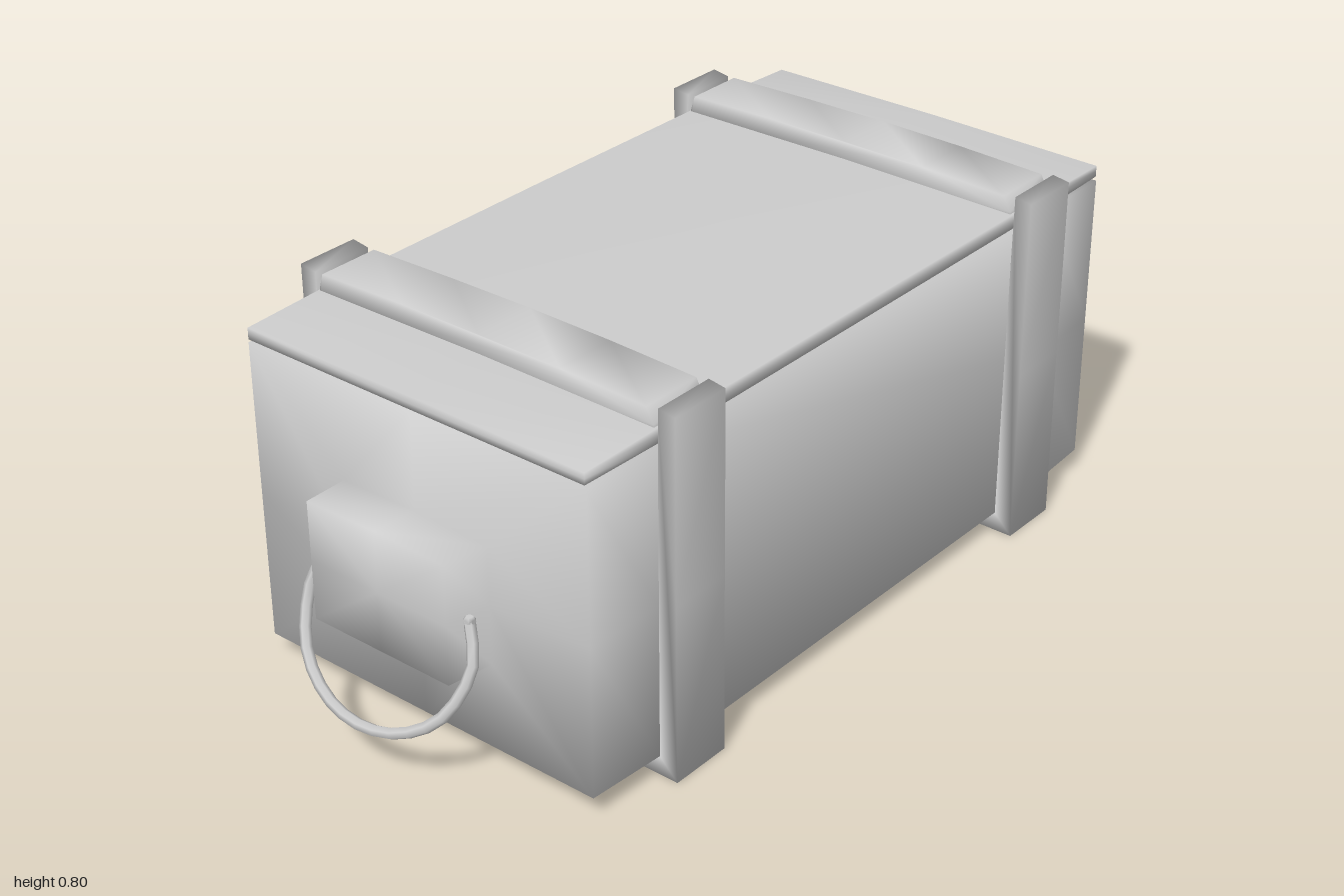
import * as THREE from 'three';
import { mergeVertices, toCreasedNormals } from 'three/addons/utils/BufferGeometryUtils.js';

const material = new THREE.MeshStandardMaterial({ color: 0xcccccc });

function add(parent, name, geometry) {
  const mesh = new THREE.Mesh(geometry, material);
  mesh.name = name;
  parent.add(mesh);
  return mesh;
}

// Smooth solid through rectangular sections [z, halfWidth, bottom, top, crown], front to back
function loft(sections) {
  const pos = [], index = [], n = 8;
  for (const [z, w, b, t, crown = 0] of sections) {
    const m = (b + t) / 2;
    pos.push(w, b, z, w, m, z, w, t, z, 0, t + crown, z, -w, t, z, -w, m, z, -w, b, z, 0, b, z);
  }
  for (let s = 0; s < sections.length - 1; s++) {
    for (let j = 0; j < n; j++) {
      const a = s * n + j, b = s * n + (j + 1) % n;
      index.push(a, a + n, b, b, a + n, b + n);
    }
  }
  // End caps, fanned from their centres
  for (const [s, front] of [[0, true], [sections.length - 1, false]]) {
    const [z, , b, t] = sections[s], c = pos.length / 3;
    pos.push(0, (b + t) / 2, z);
    for (let j = 0; j < n; j++) {
      const p = s * n + j, q = s * n + (j + 1) % n;
      index.push(c, front ? p : q, front ? q : p);
    }
  }
  const g = new THREE.BufferGeometry();
  g.setAttribute('position', new THREE.Float32BufferAttribute(pos, 3));
  g.setIndex(index);
  g.computeVertexNormals();
  return g;
}

// Solid from a front outline, softly shaded
function slab(points, depth) {
  const shape = new THREE.Shape(points.map(([x, y]) => new THREE.Vector2(x, y)));
  let g = new THREE.ExtrudeGeometry(shape, { depth, bevelEnabled: false });
  g.translate(0, 0, -depth / 2);
  g.deleteAttribute('uv');
  g.deleteAttribute('normal');
  g = mergeVertices(g);
  g.computeVertexNormals();
  return g;
}

export function createModel() {
  const model = new THREE.Group();
  model.name = 'chest';
  const box = new THREE.Group();
  box.name = 'box';
  box.position.z = -0.019;
  model.add(box);

  // Body with the handle blocks drawn out of both ends
  const end = [
    [0.936, 0.175, 0.255, 0.517, 0.004],
    [0.83, 0.185, 0.25, 0.51, 0.004],
    [0.827, 0.428, 0.055, 0.722],
    [0.64, 0.432, 0.046, 0.725],
  ];
  const mirrored = end.map(([z, ...rest]) => [-z, ...rest]).reverse();
  add(box, 'body', loft([...end, ...mirrored]));

  // Lid, thin and slightly crowned
  add(box, 'lid', loft([
    [0.829, 0.425, 0.73, 0.755, 0.003],
    [0.64, 0.428, 0.728, 0.76, 0.004],
    [0, 0.428, 0.728, 0.762, 0.004],
    [-0.64, 0.428, 0.728, 0.76, 0.004],
    [-0.829, 0.425, 0.73, 0.755, 0.003],
  ]));

  // U-shaped bands around the body and their separate top straps
  const band = [
    [-0.475, 0.003], [0.475, 0.003], [0.473, 0.4], [0.472, 0.797], [0.433, 0.803],
    [0.43, 0.4], [0.43, 0.048], [-0.43, 0.048], [-0.43, 0.4], [-0.433, 0.797], [-0.473, 0.803], [-0.473, 0.4],
  ];
  const strap = [
    [-0.425, 0.74], [0.425, 0.74], [0.422, 0.765], [0.405, 0.797],
    [0.2, 0.803], [0, 0.805], [-0.2, 0.803], [-0.415, 0.798], [-0.425, 0.765],
  ];
  for (const [side, z] of [['front', 0.569], ['back', -0.569]]) {
    add(box, side + 'Band', slab(band, 0.142)).position.z = z;
    add(box, side + 'TopStrap', slab(strap, 0.14)).position.z = z;
  }

  // Hanging wire handles
  const half = [[0.188, 0.378, 0.868], [0.214, 0.3, 0.892], [0.18, 0.2, 0.942], [0.1, 0.145, 0.975], [0, 0.127, 0.987]];
  const points = [...half, ...half.slice(0, -1).reverse().map(([x, y, z]) => [-x, y, z])]
    .map((p) => new THREE.Vector3(...p));
  const wire = new THREE.TubeGeometry(new THREE.CatmullRomCurve3(points), 20, 0.012, 6);
  // Close the wire ends with small beads
  const bead = toCreasedNormals(new THREE.IcosahedronGeometry(0.0125, 1), Math.PI / 2);
  for (const side of ['front', 'back']) {
    const handle = new THREE.Group();
    handle.name = side + 'Handle';
    if (side === 'back') handle.rotation.y = Math.PI;
    add(handle, side + 'HandleWire', wire);
    for (const p of [points[0], points[points.length - 1]]) {
      add(handle, side + 'HandleEnd', bead).position.copy(p);
    }
    model.add(handle);
  }
  return model;
}
